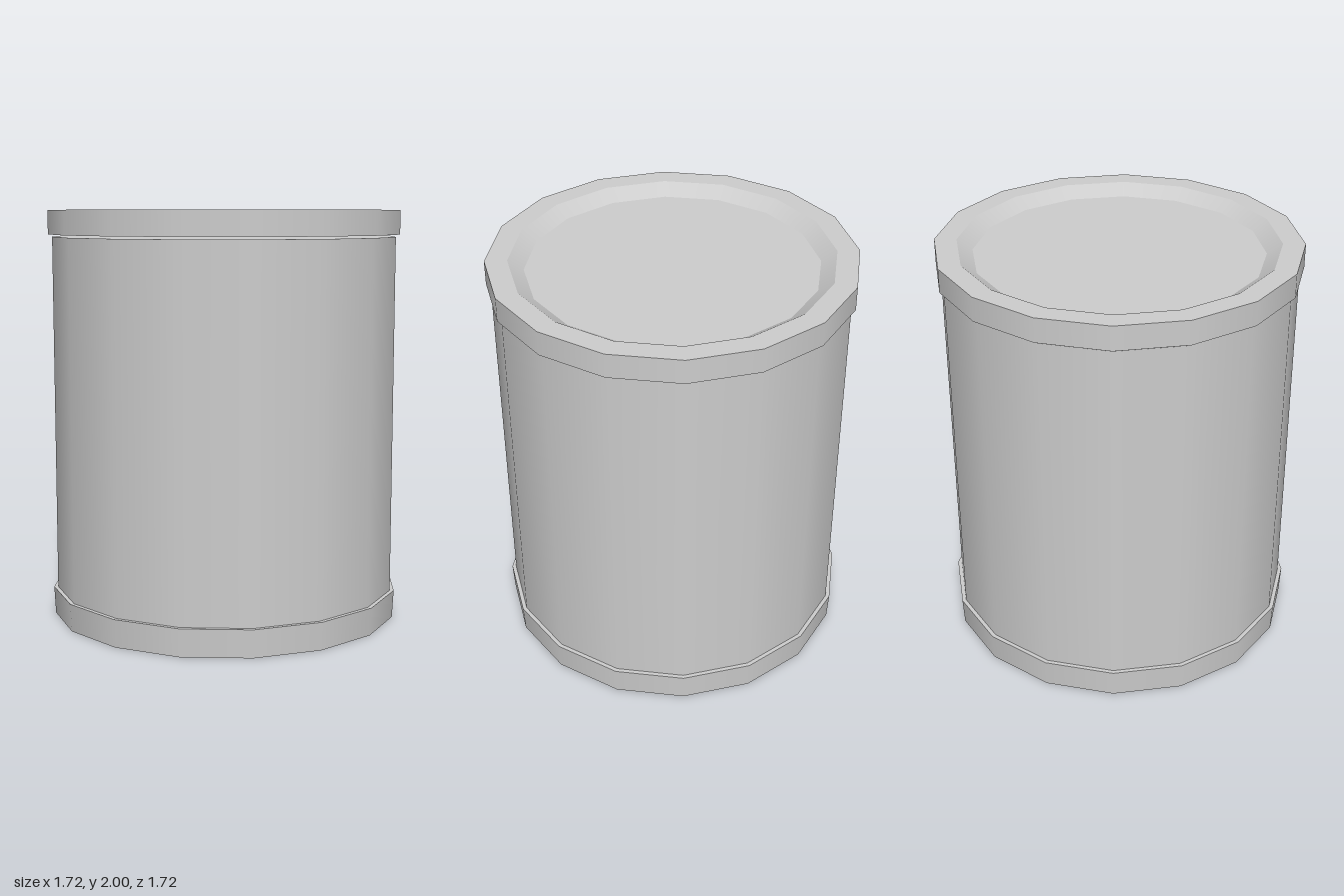
import * as THREE from 'three';
import { mergeGeometries } from 'three/addons/utils/BufferGeometryUtils.js';

const SIDES = 16;

// Turns a profile of [radius, height] points, smooth around but sharp between bands
function turned(name, profile, material) {
  const points = profile.map(([r, y]) => new THREE.Vector2(r, y));
  const bands = points.slice(1).map((p, i) => new THREE.LatheGeometry([points[i], p], SIDES));
  const mesh = new THREE.Mesh(mergeGeometries(bands), material);
  mesh.name = name;
  return mesh;
}

export function createModel() {
  const group = new THREE.Group();
  group.name = 'can';

  const metal = new THREE.MeshStandardMaterial({ color: 0xcccccc });
  metal.name = 'grey metal';

  group.add(
    // Bottom band with a shallow recess underneath and a narrow top step
    turned('baseRing', [
      [0, 0.025], [0.71, 0.025], [0.72, 0], [0.855, 0], [0.862, 0.135], [0.835, 0.135],
    ], metal),

    // Straight wall, closed at the top beneath the lid
    turned('body', [[0.842, 0.05], [0.842, 1.872], [0, 1.872]], metal),

    // Lid floating just above the wall, with a sloped recess in its top
    turned('lid', [
      [0, 1.883], [0.862, 1.883], [0.862, 2], [0.757, 2], [0.685, 1.95], [0, 1.95],
    ], metal),
  );

  return group;
}
